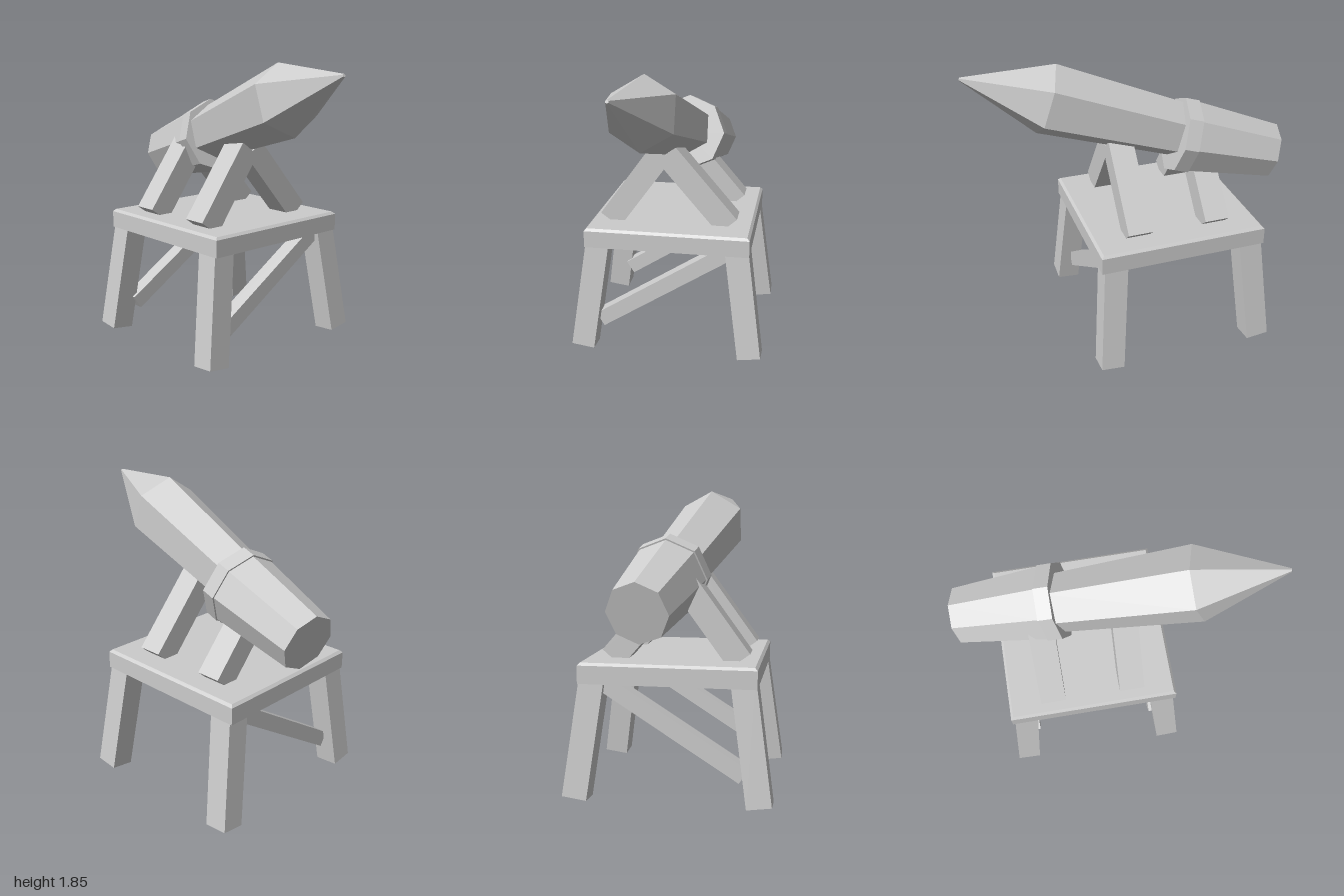
import * as THREE from 'three';

const V = (x, y, z) => new THREE.Vector3(x, y, z);

export function createModel() {
  const model = new THREE.Group();
  const gray = new THREE.MeshStandardMaterial({ color: 0xcccccc, flatShading: true });
  gray.name = 'plain gray';

  function add(name, geometry) {
    const mesh = new THREE.Mesh(geometry, gray);
    mesh.name = name;
    model.add(mesh);
    return mesh;
  }

  // Square beam from a to b, its sides kept in line with the x axis
  function beam(name, a, b, width, depth) {
    const y = b.clone().sub(a);
    const length = y.length();
    y.normalize();
    const x = V(1, 0, 0).addScaledVector(y, -y.x).normalize();
    const z = x.clone().cross(y);
    const geometry = new THREE.BoxGeometry(width, length, depth);
    geometry.applyMatrix4(new THREE.Matrix4().makeBasis(x, y, z));
    add(name, geometry).position.copy(a).lerp(b, 0.5);
  }

  // Tapered prism from a to b with one corner pointing up
  function prism(name, a, b, radiusA, radiusB, sides) {
    const y = b.clone().sub(a);
    const length = y.length();
    y.normalize();
    const z = V(-y.y, y.x, 0).normalize();
    const x = y.clone().cross(z);
    const geometry = new THREE.CylinderGeometry(radiusB, radiusA, length, sides);
    geometry.applyMatrix4(new THREE.Matrix4().makeBasis(x, y, z));
    add(name, geometry).position.copy(a).lerp(b, 0.5);
  }

  const cx = -0.2; // middle of the table

  // Table top with a small chamfer along its upper edge
  const height = 0.125, chamfer = 0.016;
  const top = new THREE.BoxGeometry(1.09, height, 1.06, 1, 2, 1);
  const p = top.attributes.position;
  for (let i = 0; i < p.count; i++) {
    if (p.getY(i) > 0.01) {
      p.setX(i, p.getX(i) - Math.sign(p.getX(i)) * chamfer);
      p.setZ(i, p.getZ(i) - Math.sign(p.getZ(i)) * chamfer);
    } else if (p.getY(i) > -0.01) {
      p.setY(i, height / 2 - chamfer);
    }
  }
  top.computeVertexNormals();
  add('tableTop', top).position.set(cx, 0.773, 0);

  // Splayed legs and the diagonal brace on each side
  for (const sx of [-1, 1]) {
    for (const sz of [-1, 1]) {
      beam('leg', V(cx + sx * 0.512, 0.017, sz * 0.55), V(cx + sx * 0.447, 0.78, sz * 0.443), 0.15, 0.15);
    }
    beam('brace', V(cx + sx * 0.445, 0.18, 0.45), V(cx + sx * 0.445, 0.73, -0.42), 0.1, 0.1);
  }

  // Crossed supports
  for (const x of [-0.455, 0.06]) {
    beam('frontSupport', V(x, 0.833, 0.405), V(x, 1.3, 0.065), 0.16, 0.155);
    beam('backSupport', V(x, 0.833, -0.37), V(x, 1.295, 0.03), 0.16, 0.155);
  }

  // Flared eight-sided launch tube and its collar
  const rear = V(-0.945, 1.157, -0.12), mouth = V(-0.305, 1.338, -0.04);
  const collarStart = mouth.clone().lerp(rear, 0.14);
  prism('tube', rear, collarStart, 0.186, 0.24, 8);
  prism('collar', collarStart, mouth, 0.25, 0.25, 8);

  // Six-sided rocket body and pointed nose
  const base = V(-0.35, 1.35, -0.02), tip = V(0.997, 1.8, 0.18);
  const shoulder = base.clone().lerp(tip, 0.627);
  prism('rocketBody', base, shoulder, 0.183, 0.231, 6);
  prism('rocketNose', shoulder, tip, 0.231, 0.01, 6);

  return model;
}
